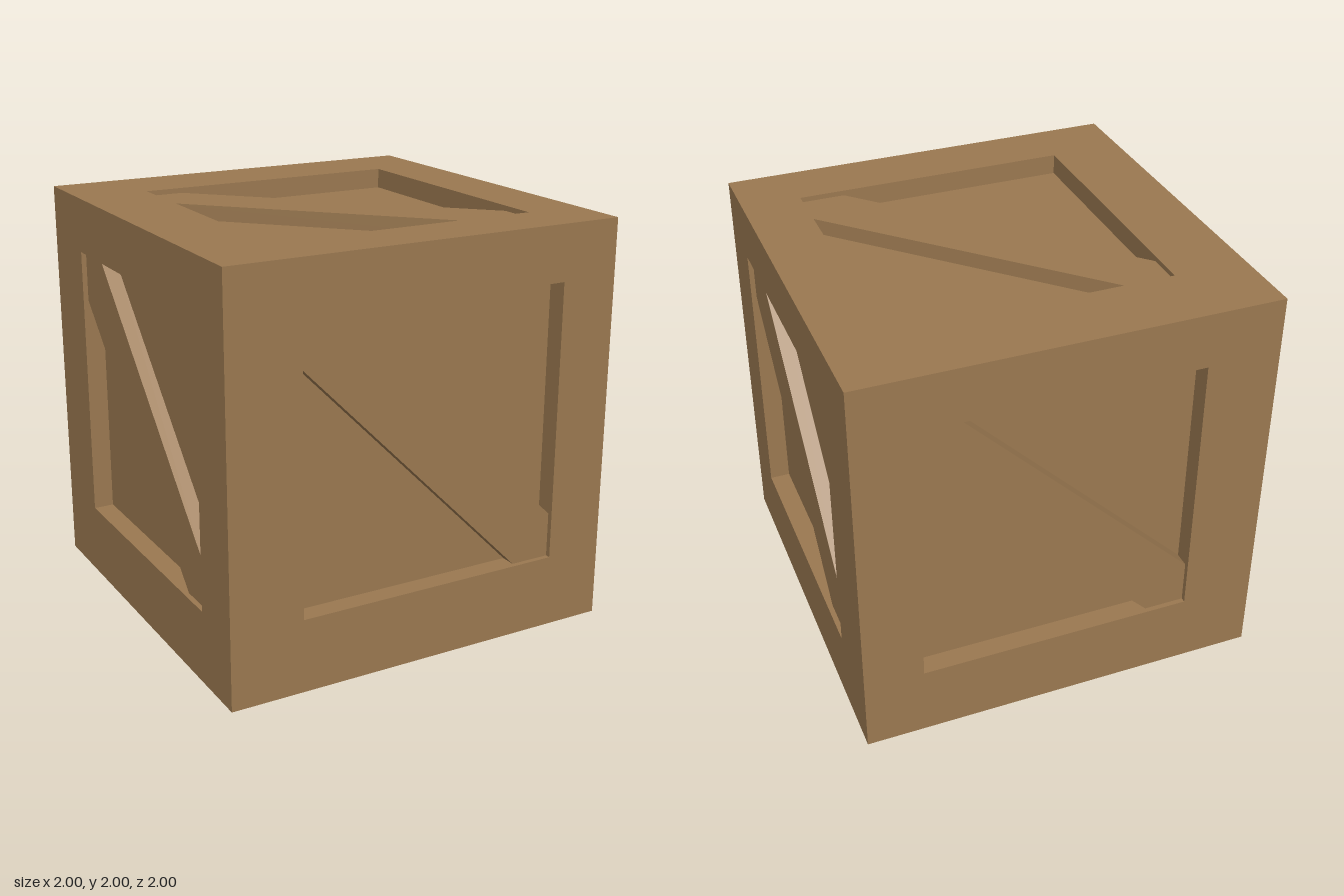
import * as THREE from 'three';

const PANEL = 0.9;   // distance of the recessed panels from the crate centre
const BRACE = 0.075; // thickness of the diagonal boards

export function createModel() {
  const crate = new THREE.Group();
  crate.name = 'crate';
  const body = new THREE.Group();
  body.name = 'crateBody';
  body.position.y = 1; // everything below is laid out around the crate centre
  crate.add(body);

  const wood = new THREE.MeshStandardMaterial({ color: 0x9a7850, flatShading: true });

  const add = (name, geometry) => {
    const mesh = new THREE.Mesh(geometry, wood);
    mesh.name = name;
    body.add(mesh);
    return mesh;
  };

  // Box given by its [min, max] range on each axis
  const block = (name, ...ranges) => {
    const size = ranges.map(([a, b]) => b - a);
    const mid = ranges.map(([a, b]) => (a + b) / 2);
    add(name, new THREE.BoxGeometry(...size)).position.set(...mid);
  };

  // Openings of the frame, and the beam widths beside them
  const open = { x: [-0.64, 0.71], y: [-0.64, 0.73], z: [-0.64, 0.71] };
  const sides = (axis) => [[-1, open[axis][0]], [open[axis][1], 1]];

  // Recessed panels on all six sides are the faces of one inner box
  block('innerPanels', [-PANEL, PANEL], [-PANEL, PANEL], [-PANEL, PANEL]);

  // Four corner posts, with rails fitted between them at top and bottom
  for (const x of sides('x')) for (const z of sides('z')) block('cornerPost', x, [-1, 1], z);
  for (const y of sides('y')) {
    for (const z of sides('z')) block('crossRail', open.x, y, z);
    for (const x of sides('x')) block('sideRail', x, y, open.z);
  }

  // Diagonal boards: u and v span the face; cuts are the distances from the
  // two opening corners to the board's edges (top, left, bottom, right)
  const braces = [
    ['frontBrace', 'x', 'y', [0.18, 0.21, 0.20, 0.22]],
    ['backBrace', '-x', 'y', [0.20, 0.21, 0.20, 0.22]],
    ['leftBrace', '-z', 'y', [0.18, 0.23, 0.24, 0.18]],
    ['rightBrace', 'z', 'y', [0.20, 0.25, 0.20, 0.19]],
    ['topBrace', 'x', '-z', [0.19, 0.19, 0.22, 0.18]],
    ['bottomBrace', 'x', 'z', [0.18, 0.23, 0.18, 0.20]],
  ];
  const readAxis = (text) => {
    const axis = text.slice(-1);
    const sign = text.length > 1 ? -1 : 1;
    const dir = new THREE.Vector3();
    dir[axis] = sign;
    const range = open[axis].map((v) => v * sign).sort((a, b) => a - b);
    return { dir, range };
  };
  for (const [name, uText, vText, [top, left, bottom, right]] of braces) {
    const u = readAxis(uText);
    const v = readAxis(vText);
    const [u0, u1] = u.range;
    const [v0, v1] = v.range;
    const outline = [
      [u0, v1], [u0, v1 - left], [u1 - bottom, v0],
      [u1, v0], [u1, v0 + right], [u0 + top, v1],
    ].map(([a, b]) => new THREE.Vector2(a, b));
    const geometry = new THREE.ExtrudeGeometry(new THREE.Shape(outline), { depth: BRACE, bevelEnabled: false });
    const normal = new THREE.Vector3().crossVectors(u.dir, v.dir);
    const basis = new THREE.Matrix4().makeBasis(u.dir, v.dir, normal);
    basis.setPosition(normal.clone().multiplyScalar(PANEL));
    add(name, geometry.applyMatrix4(basis));
  }

  return crate;
}
